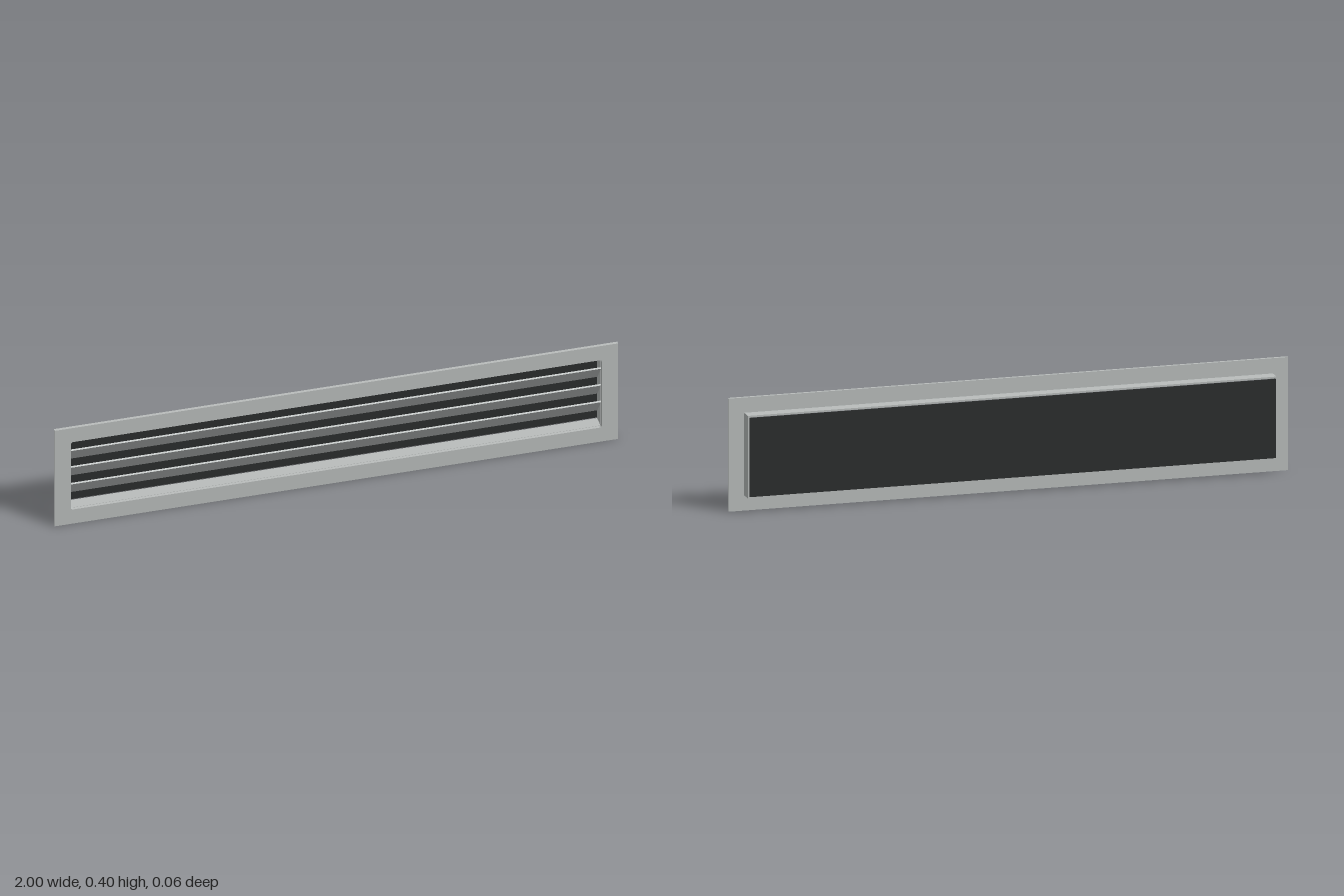
import * as THREE from 'three';

const MID = 0.2; // height of the grille centre

// Rectangle outline centred on the origin, with optional corner radius
function outline(Target, w, h, r = 0) {
  const p = new Target();
  const x = w / 2, y = h / 2;
  p.moveTo(-x + r, -y);
  p.lineTo(x - r, -y);
  if (r) p.absarc(x - r, -y + r, r, -Math.PI / 2, 0);
  p.lineTo(x, y - r);
  if (r) p.absarc(x - r, y - r, r, 0, Math.PI / 2);
  p.lineTo(-x + r, y);
  if (r) p.absarc(-x + r, y - r, r, Math.PI / 2, Math.PI);
  p.lineTo(-x, -y + r);
  if (r) p.absarc(-x + r, -y + r, r, Math.PI, Math.PI * 1.5);
  return p;
}

// Rectangular ring extruded along z
function ring(w, h, holeW, holeH, holeR, depth) {
  const shape = outline(THREE.Shape, w, h);
  shape.holes.push(outline(THREE.Path, holeW, holeH, holeR));
  return new THREE.ExtrudeGeometry(shape, { depth, bevelEnabled: false, curveSegments: 4 });
}

export function createModel() {
  const group = new THREE.Group();
  group.name = 'ventGrille';

  const metal = new THREE.MeshStandardMaterial({ color: 0xb9bdbc });
  metal.name = 'brushed metal';
  const dark = new THREE.MeshStandardMaterial({ color: 0x2b2d2d });
  dark.name = 'dark backing';

  const add = (name, geometry, material, y, z) => {
    const mesh = new THREE.Mesh(geometry, material);
    mesh.name = name;
    mesh.position.set(0, y, z);
    group.add(mesh);
    return mesh;
  };

  // Flat front flange with a softly rounded opening
  add('frontFrame', ring(2, 0.4, 1.884, 0.282, 0.008, 0.011), metal, MID, 0.021);

  // Shallow sleeve behind the flange
  add('housing', ring(1.89, 0.292, 1.88, 0.28, 0, 0.045), metal, MID, -0.024);

  // Dark plate, set slightly off the sleeve
  add('backPanel', new THREE.BoxGeometry(1.88, 0.28, 0.004), dark, MID, -0.03);

  // Three louvres, top edges leaning forward
  const louvre = new THREE.BoxGeometry(1.88, 0.082, 0.006);
  for (let i = -1; i <= 1; i++) {
    const slat = add('louvre' + (i + 2), louvre, metal, MID + i * 0.07, 0.001);
    slat.rotation.x = THREE.MathUtils.degToRad(36);
  }

  return group;
}
